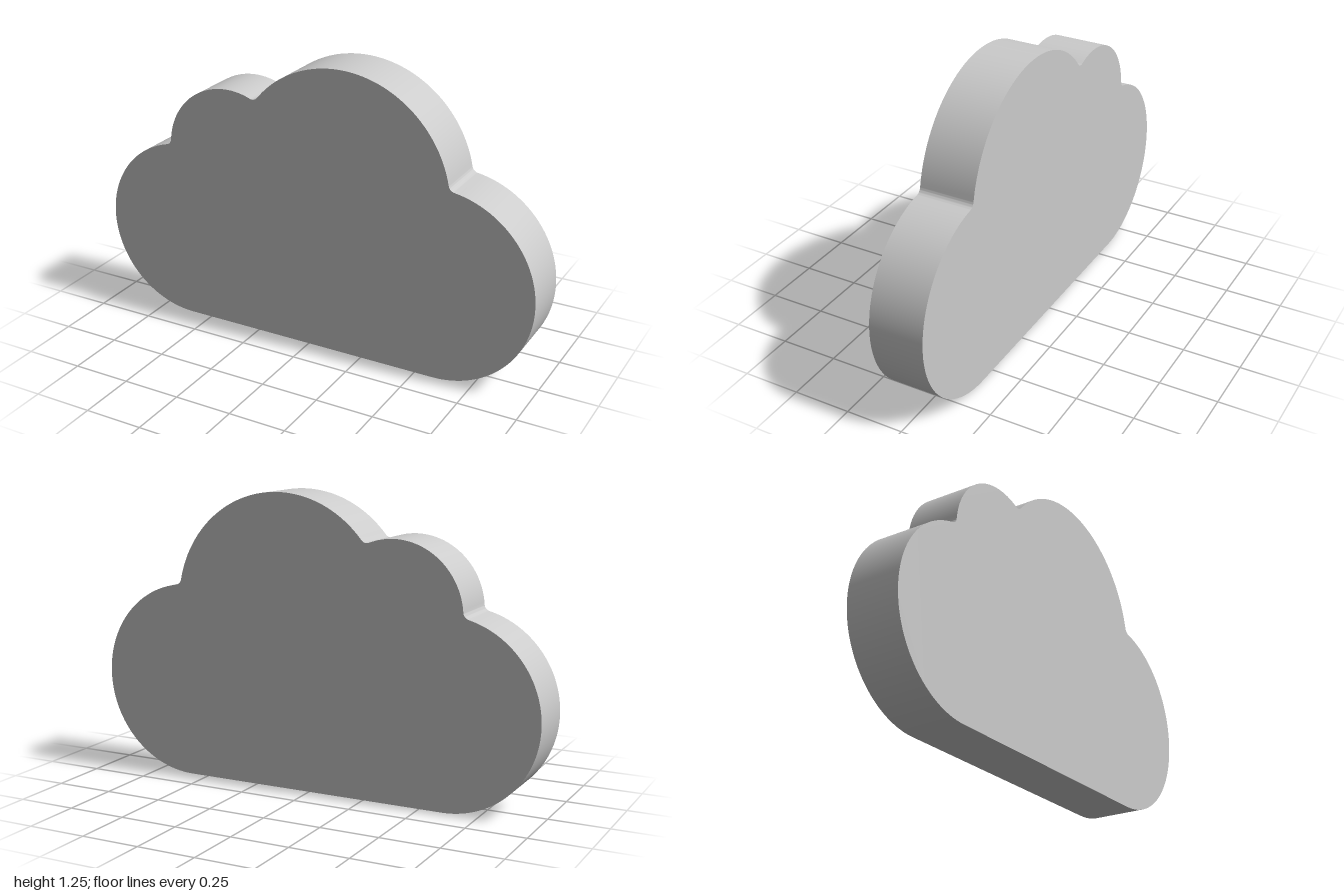
import * as THREE from 'three';
import { toCreasedNormals } from 'three/addons/utils/BufferGeometryUtils.js';

const DEPTH = 0.234;
const FILLET = 0.03;

// Round lobes, counterclockwise from the lower right
const lobes = [
  { x: 0.58, y: 0.42, r: 0.42 },
  { x: 0.14, y: 0.76, r: 0.49 },
  { x: -0.38, y: 0.79, r: 0.295 },
  { x: -0.6, y: 0.4, r: 0.4 },
];

// Centre of the small circle that touches two lobes from outside
function filletCentre(a, b) {
  const dx = b.x - a.x, dy = b.y - a.y, d = Math.hypot(dx, dy);
  const ra = a.r + FILLET, rb = b.r + FILLET;
  const along = (d * d + ra * ra - rb * rb) / (2 * d);
  const out = Math.sqrt(ra * ra - along * along);
  return {
    x: a.x + (dx * along + dy * out) / d,
    y: a.y + (dy * along - dx * out) / d,
    r: FILLET,
  };
}

const angleTo = (from, to) => Math.atan2(to.y - from.y, to.x - from.x);

// Samples an arc; skip leaves out its end points where they are shared
function addArc(points, c, start, end, steps, skip = 0) {
  for (let i = skip; i <= steps - skip; i++) {
    const t = start + (end - start) * i / steps;
    points.push(new THREE.Vector2(c.x + c.r * Math.cos(t), c.y + c.r * Math.sin(t)));
  }
}

function cloudOutline() {
  const points = [];
  const TAU = Math.PI * 2;
  let start = -Math.PI / 2;
  lobes.forEach((lobe, i) => {
    const next = lobes[i + 1];
    const fillet = next && filletCentre(lobe, next);
    let end = fillet ? angleTo(lobe, fillet) : Math.PI * 1.5;
    while (end < start) end += TAU;
    addArc(points, lobe, start, end, 56);
    if (!fillet) return;
    // Rounded notch, turning clockwise into the next lobe
    const f0 = angleTo(fillet, lobe);
    let f1 = angleTo(fillet, next);
    while (f1 > f0) f1 -= TAU;
    addArc(points, fillet, f0, f1, 12, 1);
    start = angleTo(next, fillet);
  });
  return new THREE.Shape(points);
}

export function createModel() {
  const group = new THREE.Group();
  group.name = 'cloud';

  // Flat slab with smooth rim and sharp front and back edges
  const slab = new THREE.ExtrudeGeometry(cloudOutline(), { depth: DEPTH, bevelEnabled: false });
  slab.translate(0, 0, -DEPTH / 2);
  const body = new THREE.Mesh(
    toCreasedNormals(slab, Math.PI / 6),
    new THREE.MeshStandardMaterial({ color: 0xcccccc })
  );
  body.name = 'cloudBody';
  group.add(body);
  return group;
}
